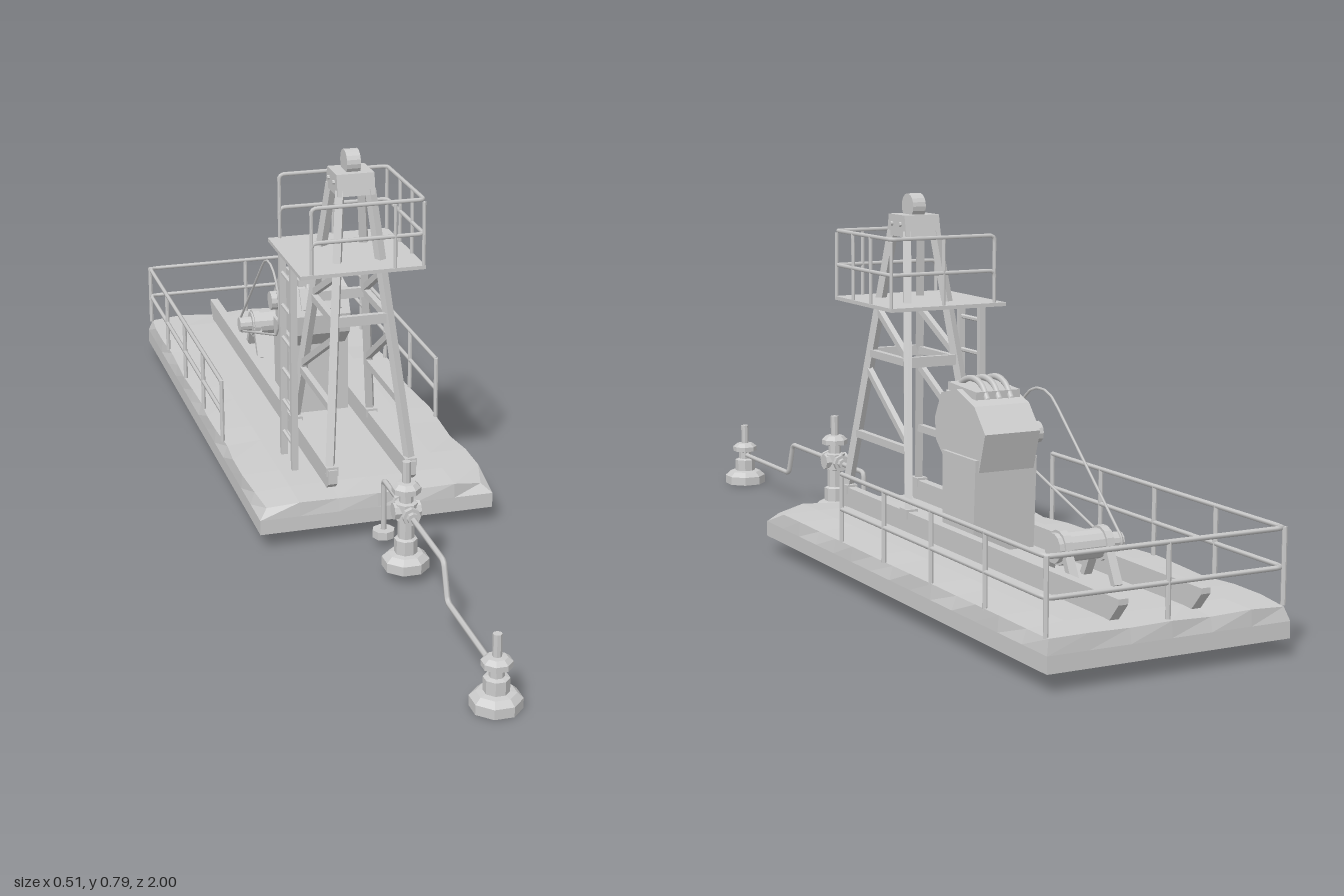
import * as THREE from 'three';

const V = (x, y, z) => new THREE.Vector3(x, y, z);

export function createModel() {
  const root = new THREE.Group();
  const mat = new THREE.MeshStandardMaterial({ color: 0xcccccc, flatShading: true });
  const smooth = new THREE.MeshStandardMaterial({ color: 0xcccccc });

  const add = (parent, name, geo, x = 0, y = 0, z = 0, m = mat) => {
    const mesh = new THREE.Mesh(geo, m);
    mesh.name = name;
    mesh.position.set(x, y, z);
    parent.add(mesh);
    return mesh;
  };
  const group = (name) => {
    const g = new THREE.Group();
    g.name = name;
    root.add(g);
    return g;
  };
  const box = (p, name, w, h, d, x, y, z) => add(p, name, new THREE.BoxGeometry(w, h, d), x, y, z);
  // Square beam between two points
  const beam = (p, name, a, b, w, d = w) => {
    const m = add(p, name, new THREE.BoxGeometry(w, d, a.distanceTo(b)));
    m.position.copy(a).add(b).multiplyScalar(0.5);
    m.lookAt(b);
    return m;
  };
  // Round bar between two points
  const bar = (p, name, a, b, r, n = 8) => {
    const m = add(p, name, new THREE.CylinderGeometry(r, r, a.distanceTo(b), n));
    m.position.copy(a).add(b).multiplyScalar(0.5);
    m.quaternion.setFromUnitVectors(V(0, 1, 0), b.clone().sub(a).normalize());
    return m;
  };
  // Pipe through straight runs with tight bends
  const pipe = (p, name, pts, r, bend = 0.012) => {
    const path = new THREE.CurvePath();
    let from = pts[0];
    for (let i = 1; i < pts.length - 1; i++) {
      const c = pts[i];
      const a = c.clone().add(pts[i - 1].clone().sub(c).setLength(bend));
      const b = c.clone().add(pts[i + 1].clone().sub(c).setLength(bend));
      path.add(new THREE.LineCurve3(from, a));
      path.add(new THREE.QuadraticBezierCurve3(a, c, b));
      from = b;
    }
    path.add(new THREE.LineCurve3(from, pts[pts.length - 1]));
    return add(p, name, new THREE.TubeGeometry(path, 120, r, 6), 0, 0, 0, smooth);
  };
  // Side profile given as [z, y], extruded across x
  const sideExtrude = (p, name, prof, w, x = 0) => {
    const s = new THREE.Shape(prof.map(([z, y]) => new THREE.Vector2(-z, y)));
    const g = new THREE.ExtrudeGeometry(s, { depth: w, bevelEnabled: false });
    g.translate(0, 0, -w / 2).rotateY(Math.PI / 2);
    return add(p, name, g, x);
  };

  // Concrete slab with worn upper edges
  const slab = new THREE.BoxGeometry(0.512, 0.065, 1.21, 6, 2, 14);
  const sp = slab.attributes.position;
  for (let i = 0; i < sp.count; i++) {
    const x = sp.getX(i), y = sp.getY(i), z = sp.getZ(i);
    const side = Math.abs(x) > 0.25, end = Math.abs(z) > 0.6;
    if (y < 0.03 || !(side || end)) continue;
    const wear = 0.002 + 0.008 * Math.pow(Math.sin(z * 11 + x * 17), 4) + (side && z > 0.6 ? 0.012 : 0);
    if (side) sp.setX(i, x - Math.sign(x) * wear);
    if (end) sp.setZ(i, z - Math.sign(z) * wear * 0.7);
    sp.setY(i, y - wear * 0.6);
  }
  slab.computeVertexNormals();
  add(root, 'concreteSlab', slab, 0, 0.0675, -0.395);

  // Skid rails
  const skids = group('skids');
  for (const s of [-1, 1]) {
    sideExtrude(skids, 'skidRail', [[0.15, 0.098], [0.168, 0.112], [0.168, 0.143], [-0.975, 0.143], [-0.975, 0.132], [-0.945, 0.098]], 0.02, s * 0.087);
  }

  // Tower
  const tower = group('tower');
  const legAt = (sx, sz, y) => {
    const t = (y - 0.14) / 0.565;
    return V(sx * (0.088 - 0.054 * t), y, sz * (0.148 - 0.113 * t));
  };
  for (const sx of [-1, 1]) {
    for (const sz of [-1, 1]) {
      beam(tower, 'towerLeg', legAt(sx, sz, 0.13), legAt(sx, sz, 0.715), 0.017);
      box(tower, 'legFoot', 0.026, 0.02, 0.034, sx * 0.087, 0.138, sz * 0.146);
    }
    for (const y of [0.265, 0.445]) beam(tower, 'sideBrace', legAt(sx, 1, y), legAt(sx, -1, y), 0.013, 0.016);
    for (const [a, b] of [[0.41, 0.28], [0.54, 0.455]]) {
      beam(tower, 'diagonalBrace', legAt(sx, 1, a), legAt(sx, -1, b), 0.012, 0.014);
    }
  }
  for (const sz of [-1, 1]) beam(tower, 'crossBrace', legAt(-1, sz, 0.445), legAt(1, sz, 0.445), 0.012, 0.022);
  sideExtrude(tower, 'towerHead', [[0.046, 0.704], [0.037, 0.75], [-0.037, 0.75], [-0.046, 0.704]], 0.082);
  for (const z of [-0.02, 0.02]) bar(tower, 'headPin', V(-0.046, 0.73, z), V(0.046, 0.73, z), 0.005);
  bar(tower, 'crownPulley', V(-0.015, 0.767, 0), V(0.015, 0.767, 0), 0.027, 18);

  // Platform with railing
  const platform = group('platform');
  box(platform, 'platformDeck', 0.27, 0.008, 0.275, -0.01, 0.564, -0.006);
  const L = -0.12, R = 0.122, B = -0.137, F = 0.127;
  for (const y of [0.636, 0.71]) {
    pipe(platform, 'platformRail', [V(L, y - 0.015, B), V(L, y, B), V(R, y, B), V(R, y, F), V(L, y, F), V(L, y - 0.015, F)], 0.0045);
  }
  for (const [x, z] of [[L, B], [0, B], [R, B], [R, -0.04], [R, 0.045], [R, F], [0.06, F], [L, F]]) {
    bar(platform, 'platformPost', V(x, 0.565, z), V(x, z === B || z === F ? 0.705 : 0.71, z), 0.004);
  }

  // Ladder
  const ladder = group('ladder');
  for (const z of [-0.049, 0.043]) box(ladder, 'ladderStile', 0.014, 0.468, 0.013, -0.138, 0.332, z);
  for (let i = 0; i < 6; i++) {
    bar(ladder, 'ladderRung', V(-0.138, 0.155 + i * 0.073, -0.049), V(-0.138, 0.155 + i * 0.073, 0.043), 0.005, 6);
  }

  // Slab guard rail
  const guard = group('guardRail');
  for (const y of [0.165, 0.238]) {
    pipe(guard, 'guardBar', [V(-0.25, y, -0.165), V(-0.25, y, -0.985), V(0.25, y, -0.985), V(0.25, y, -0.165)], 0.005);
  }
  for (const x of [-0.25, 0.25]) {
    for (const z of [-0.165, -0.36, -0.56, -0.77, -0.985]) bar(guard, 'guardPost', V(x, 0.095, z), V(x, 0.24, z), 0.005);
  }
  bar(guard, 'guardPost', V(0, 0.095, -0.985), V(0, 0.24, -0.985), 0.005);

  // Gearbox on its pedestal
  const gear = group('gearbox');
  sideExtrude(gear, 'gearPedestal', [[-0.265, 0.098], [-0.265, 0.29], [-0.405, 0.29], [-0.395, 0.098]], 0.14);
  sideExtrude(gear, 'gearHousing', [[-0.265, 0.265], [-0.222, 0.305], [-0.217, 0.35], [-0.245, 0.405],
    [-0.31, 0.42], [-0.385, 0.395], [-0.43, 0.345], [-0.405, 0.265]], 0.125);
  const cover = box(gear, 'gearCover', 0.1, 0.05, 0.03, 0, 0.38, -0.245);
  cover.rotation.x = -0.47;
  box(gear, 'gearTop', 0.1, 0.016, 0.12, 0, 0.416, -0.31).rotation.x = -0.05;
  for (const x of [-0.027, 0, 0.027]) {
    const arc = new THREE.CatmullRomCurve3([V(x, 0.395, -0.243), V(x, 0.425, -0.265), V(x, 0.441, -0.31), V(x, 0.432, -0.35), V(x, 0.405, -0.375)]);
    add(gear, 'gearHoop', new THREE.TubeGeometry(arc, 16, 0.0065, 6), 0, 0, 0, smooth);
  }
  bar(gear, 'gearShaft', V(-0.082, 0.335, -0.39), V(0.06, 0.335, -0.39), 0.022, 12);

  // Motor on stands
  const motor = group('motor');
  bar(motor, 'motorBody', V(-0.058, 0.172, -0.69), V(0.062, 0.172, -0.69), 0.029, 14);
  bar(motor, 'motorPulley', V(-0.087, 0.172, -0.69), V(-0.058, 0.172, -0.69), 0.018, 12);
  for (const x of [-0.046, 0.044]) {
    bar(motor, 'motorCollar', V(x - 0.008, 0.172, -0.69), V(x + 0.008, 0.172, -0.69), 0.034, 14);
    for (const s of [-1, 1]) beam(motor, 'motorLeg', V(x, 0.17, -0.69 + s * 0.02), V(x, 0.1, -0.69 + s * 0.056), 0.018, 0.014);
  }

  // Drive belt around gearbox shaft and motor pulley
  const belt = [];
  const arcs = [[-0.4, 0.335, 0.09, 2.4, -0.85], [-0.69, 0.172, 0.018, -0.85, -3.9]];
  for (const [z, y, r, a0, a1] of arcs) {
    for (let i = 0; i <= 10; i++) {
      const a = a0 + (a1 - a0) * i / 10;
      belt.push(V(-0.08, y + r * Math.sin(a), z + r * Math.cos(a)));
    }
  }
  const loop = new THREE.CurvePath();
  belt.forEach((p, i) => loop.add(new THREE.LineCurve3(p, belt[(i + 1) % belt.length])));
  add(root, 'driveBelt', new THREE.TubeGeometry(loop, 160, 0.003, 5, true), 0, 0, 0, smooth);

  // Wellheads: turned profiles [radius, height]
  const well = (name, z, prof) => {
    const g = group(name);
    add(g, 'wellBody', new THREE.LatheGeometry(prof.map(([r, y]) => new THREE.Vector2(r, y)), 8, Math.PI / 8), 0, 0, z);
    return g;
  };
  const near = well('nearWellhead', 0.405, [[0, 0.022], [0.049, 0.022], [0.049, 0.042], [0.036, 0.053], [0.024, 0.055], [0.024, 0.085],
    [0.017, 0.088], [0.017, 0.128], [0.024, 0.13], [0.024, 0.165], [0.015, 0.167], [0.015, 0.185], [0.03, 0.188], [0.03, 0.199],
    [0.02, 0.208], [0.009, 0.209], [0.009, 0.254], [0, 0.254]]);
  bar(near, 'sideValve', V(-0.028, 0.148, 0.405), V(0.028, 0.148, 0.405), 0.018);
  bar(near, 'lineValve', V(0, 0.148, 0.355), V(0, 0.148, 0.455), 0.012);
  for (const s of [-1, 1]) bar(near, 'valveFlange', V(0, 0.148, 0.405 + s * 0.03), V(0, 0.148, 0.405 + s * 0.04), 0.019);
  well('farWellhead', 0.95, [[0, 0], [0.05, 0], [0.05, 0.02], [0.038, 0.031], [0.025, 0.033], [0.025, 0.06], [0.015, 0.063],
    [0.015, 0.08], [0.03, 0.083], [0.03, 0.094], [0.02, 0.102], [0.009, 0.103], [0.009, 0.148], [0, 0.148]]);

  // Flow line
  const flow = group('flowLine');
  pipe(flow, 'flowPipe', [V(0, 0.03, 0.25), V(0, 0.147, 0.25), V(0, 0.147, 0.645), V(0, 0.072, 0.672), V(0, 0.072, 0.95)], 0.006);
  bar(flow, 'flowFoot', V(0, 0.018, 0.25), V(0, 0.035, 0.25), 0.024);

  return root;
}
